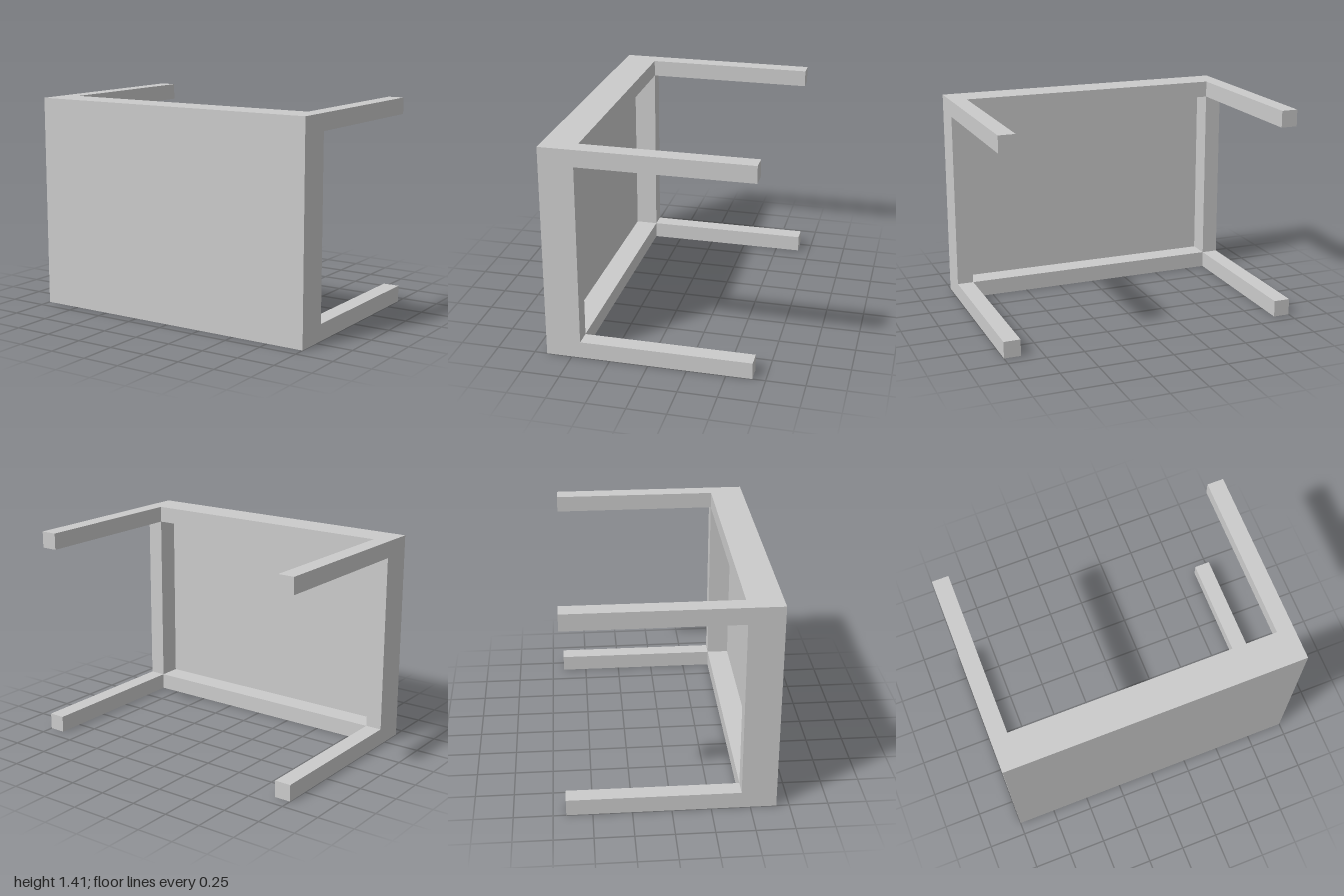
import * as THREE from 'three';

// Table lying on its side: the top faces +z, the legs point to -z.
const W = 2, H = 1.41, FRONT = 0.667, BACK = -0.667;
const BAR = 0.11;         // section of legs and rails
const SLAB_BACK = 0.592;  // underside of the table top
const RAIL_BACK = 0.442;  // lower edge of the rails

export function createModel() {
  const group = new THREE.Group();
  const material = new THREE.MeshStandardMaterial({ color: 0xcccccc, flatShading: true });

  // Box spanning z0..z1, centred on x and y
  const addBox = (name, w, h, x, y, z0, z1) => {
    const mesh = new THREE.Mesh(new THREE.BoxGeometry(w, h, z1 - z0), material);
    mesh.name = name;
    mesh.position.set(x, y, (z0 + z1) / 2);
    group.add(mesh);
  };

  addBox('tableTop', W, H, 0, H / 2, SLAB_BACK, FRONT);

  const legX = (W - BAR) / 2, legY = (H - BAR) / 2;
  for (const s of [-1, 1]) {
    // Rails between the legs
    addBox('longRail', W - 2 * BAR, BAR, 0, H / 2 + s * legY, RAIL_BACK, SLAB_BACK);
    addBox('shortRail', BAR, H - 2 * BAR, s * legX, H / 2, RAIL_BACK, SLAB_BACK);
    // Legs at the corners
    for (const t of [-1, 1]) {
      addBox('leg', BAR, BAR, s * legX, H / 2 + t * legY, BACK, SLAB_BACK);
    }
  }
  return group;
}
